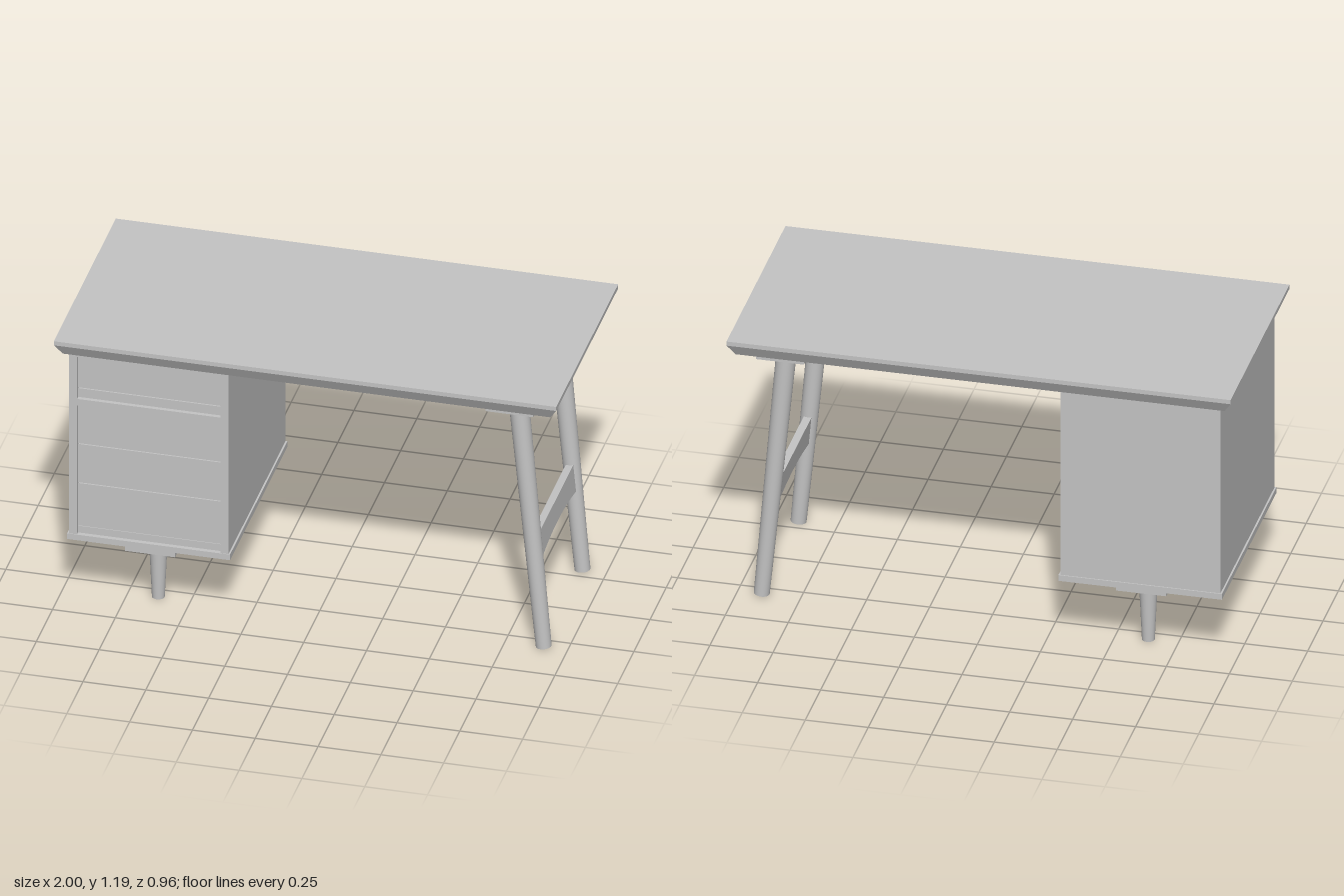
import * as THREE from 'three';

export function createModel() {
  const desk = new THREE.Group();
  desk.name = 'desk';
  const grey = new THREE.MeshStandardMaterial({ color: 0xc4c4c4 });
  grey.name = 'plain grey';

  const add = (name, geometry, parent = desk) => {
    const mesh = new THREE.Mesh(geometry, grey);
    mesh.name = name;
    parent.add(mesh);
    return mesh;
  };
  // Box given by its limits on each axis
  const slab = (name, x0, x1, y0, y1, z0, z1, parent) => {
    const mesh = add(name, new THREE.BoxGeometry(x1 - x0, y1 - y0, z1 - z0), parent);
    mesh.position.set((x0 + x1) / 2, (y0 + y1) / 2, (z0 + z1) / 2);
    return mesh;
  };
  // Round tapered leg between two points
  const taperedLeg = (name, top, bottom, rTop, rBottom) => {
    const axis = top.clone().sub(bottom);
    const mesh = add(name, new THREE.CylinderGeometry(rTop, rBottom, axis.length(), 32));
    mesh.position.copy(top).add(bottom).multiplyScalar(0.5);
    mesh.quaternion.setFromUnitVectors(new THREE.Vector3(0, 1, 0), axis.normalize());
    return mesh;
  };

  // Desktop: thin upright edge with an undercut bevel
  let top = new THREE.BoxGeometry(2, 0.065, 0.96, 1, 2, 1);
  const p = top.attributes.position;
  for (let i = 0; i < p.count; i++) {
    const y = p.getY(i);
    if (Math.abs(y) < 0.001) p.setY(i, 0.0145);
    else if (y < 0) {
      p.setX(i, Math.sign(p.getX(i)) * 0.97);
      p.setZ(i, Math.sign(p.getZ(i)) * 0.455);
    }
  }
  top = top.toNonIndexed();
  top.computeVertexNormals();
  add('desktop', top).position.y = 1.1575;

  // Drawer cabinet shell
  const cabinet = new THREE.Group();
  cabinet.name = 'drawerCabinet';
  desk.add(cabinet);
  slab('cabinetOuterSide', -0.95, -0.918, 0.315, 1.125, -0.42, 0.44, cabinet);
  slab('cabinetInnerSide', -0.347, -0.315, 0.315, 1.125, -0.42, 0.44, cabinet);
  slab('cabinetBack', -0.95, -0.315, 0.315, 1.125, -0.44, -0.42, cabinet);
  slab('cabinetTop', -0.918, -0.347, 1.11, 1.125, -0.42, 0.44, cabinet);
  slab('cabinetBase', -0.957, -0.308, 0.29, 0.315, -0.445, 0.443, cabinet);
  slab('cabinetCore', -0.918, -0.347, 0.315, 1.11, -0.42, 0.4, cabinet);
  slab('bottomRail', -0.918, -0.347, 0.315, 0.345, -0.42, 0.425, cabinet);
  slab('middleRail', -0.918, -0.347, 0.89, 0.92, -0.42, 0.438, cabinet);

  // Drawer fronts with narrow gaps between them
  [[0.967, 1.105], [0.924, 0.963], [0.717, 0.887], [0.542, 0.713], [0.349, 0.538]].forEach(
    ([y0, y1], i) => slab(`drawerFront${i + 1}`, -0.916, -0.349, y0, y1, 0.4, 0.428, cabinet));

  // Mounting plates above the feet and the long legs
  slab('footPlate', -0.73, -0.53, 0.263, 0.29, -0.42, 0.43);
  slab('legPlate', 0.705, 0.895, 1.1, 1.125, -0.43, 0.43);

  // Short feet and long splayed legs, front and back
  const legTop = new THREE.Vector3(0.803, 1.105, 0);
  const legBottom = new THREE.Vector3(0.904, 0.005, 0);
  for (const [side, z] of [['front', 0.3], ['back', -0.3]]) {
    taperedLeg(`${side}Foot`, new THREE.Vector3(-0.63, 0.265, z),
      new THREE.Vector3(-0.63, 0, z), 0.037, 0.025);
    taperedLeg(`${side}Leg`, legTop.clone().setZ(z), legBottom.clone().setZ(z), 0.04, 0.031);
  }

  // Arched stretcher between the long legs, tilted with them
  const arch = new THREE.Shape();
  arch.moveTo(-0.28, -0.06);
  arch.quadraticCurveTo(0, -0.004, 0.28, -0.06);
  arch.lineTo(0.28, 0.06);
  arch.lineTo(-0.28, 0.06);
  arch.closePath();
  const stretcher = new THREE.ExtrudeGeometry(arch, { depth: 0.03, bevelEnabled: false, curveSegments: 20 });
  stretcher.translate(0, 0, -0.015);
  stretcher.rotateY(Math.PI / 2);
  stretcher.rotateZ(Math.atan2(0.101, 1.1));
  add('stretcher', stretcher).position.set(0.866, 0.422, 0);

  return desk;
}
